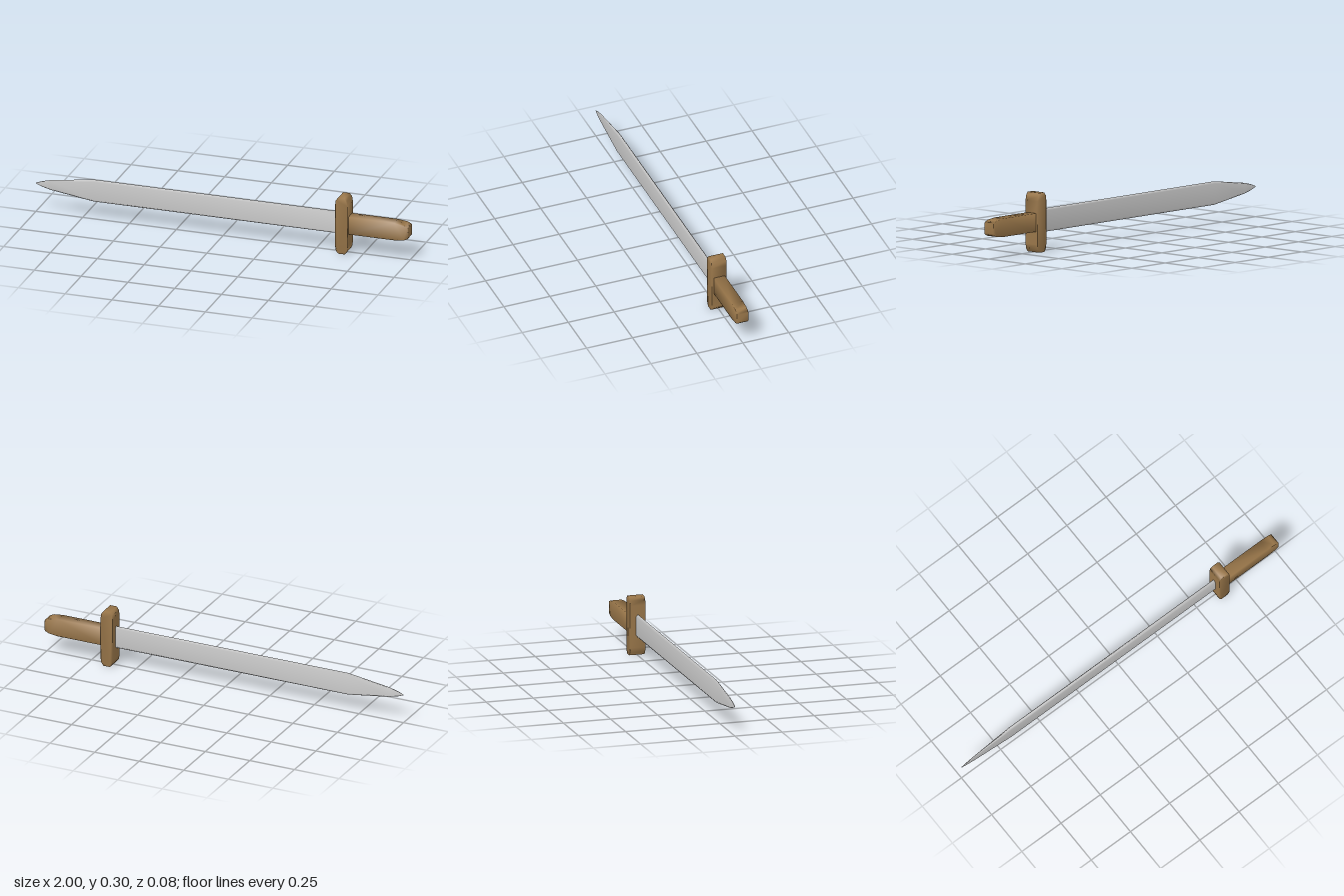
import * as THREE from 'three';
import { mergeVertices } from 'three/addons/utils/BufferGeometryUtils.js';

const MID = 0.155; // height of the sword's long axis

// Plate with the given outline, centred in z, with softly shared normals
function plate(name, points, depth, material) {
  const shape = new THREE.Shape(points.map(([x, y]) => new THREE.Vector2(x, y)));
  let geo = new THREE.ExtrudeGeometry(shape, { depth, bevelEnabled: false });
  geo.translate(0, 0, -depth / 2);
  geo.deleteAttribute('normal');
  geo.deleteAttribute('uv');
  geo = mergeVertices(geo);
  geo.computeVertexNormals();
  const mesh = new THREE.Mesh(geo, material);
  mesh.name = name;
  return mesh;
}

// Outline mirrored about the long axis: lower half given as [x, distance below axis]
function mirrored(half) {
  return [
    ...half.map(([x, h]) => [x, MID - h]),
    ...half.slice().reverse().map(([x, h]) => [x, MID + h]),
  ];
}

// Six-sided blade lofted through sections [x, half height, half thickness], x ascending
function bladeGeometry(sections) {
  const pos = [], index = [];
  const ring = [[1, 0], [0.82, 1], [-0.82, 1], [-1, 0], [-0.82, -1], [0.82, -1]];
  const n = ring.length;
  for (const [x, h, t] of sections)
    for (const [y, z] of ring) pos.push(x, MID + y * h, z * t);
  for (let s = 0; s < sections.length - 1; s++) {
    for (let i = 0; i < n; i++) {
      const j = (i + 1) % n;
      const a = s * n + i, b = s * n + j, c = b + n, d = a + n;
      index.push(a, b, c, a, c, d);
    }
  }
  // End caps
  const last = (sections.length - 1) * n;
  for (let i = 1; i < n - 1; i++) {
    index.push(0, i + 1, i);
    index.push(last, last + i, last + i + 1);
  }
  const geo = new THREE.BufferGeometry();
  geo.setAttribute('position', new THREE.Float32BufferAttribute(pos, 3));
  geo.setIndex(index);
  geo.computeVertexNormals();
  return geo;
}

export function createModel() {
  const group = new THREE.Group();
  group.name = 'sword';
  const steel = new THREE.MeshStandardMaterial({ color: 0xcccccc });
  const wood = new THREE.MeshStandardMaterial({ color: 0x9a774a });

  // Blade with a tapering point
  const blade = new THREE.Mesh(bladeGeometry([
    [-1, 0.002, 0.001],
    [-0.97, 0.014, 0.002],
    [-0.92, 0.027, 0.003],
    [-0.69, 0.06, 0.009],
    [0.63, 0.06, 0.009],
  ]), steel);
  blade.name = 'blade';
  group.add(blade);

  // Cross guard, chamfered at both ends
  group.add(plate('guard', mirrored([
    [0.612, 0.11], [0.616, 0.136], [0.628, 0.152],
    [0.664, 0.152], [0.676, 0.136], [0.68, 0.11],
  ]).map(([x, y]) => [x, y - MID + 0.1525]), 0.08, wood));

  // Grip, narrowing at its end
  group.add(plate('grip', mirrored([
    [0.67, 0.047], [0.925, 0.047], [0.975, 0.041], [0.995, 0.032], [1, 0.024],
  ]), 0.06, wood));

  return group;
}
